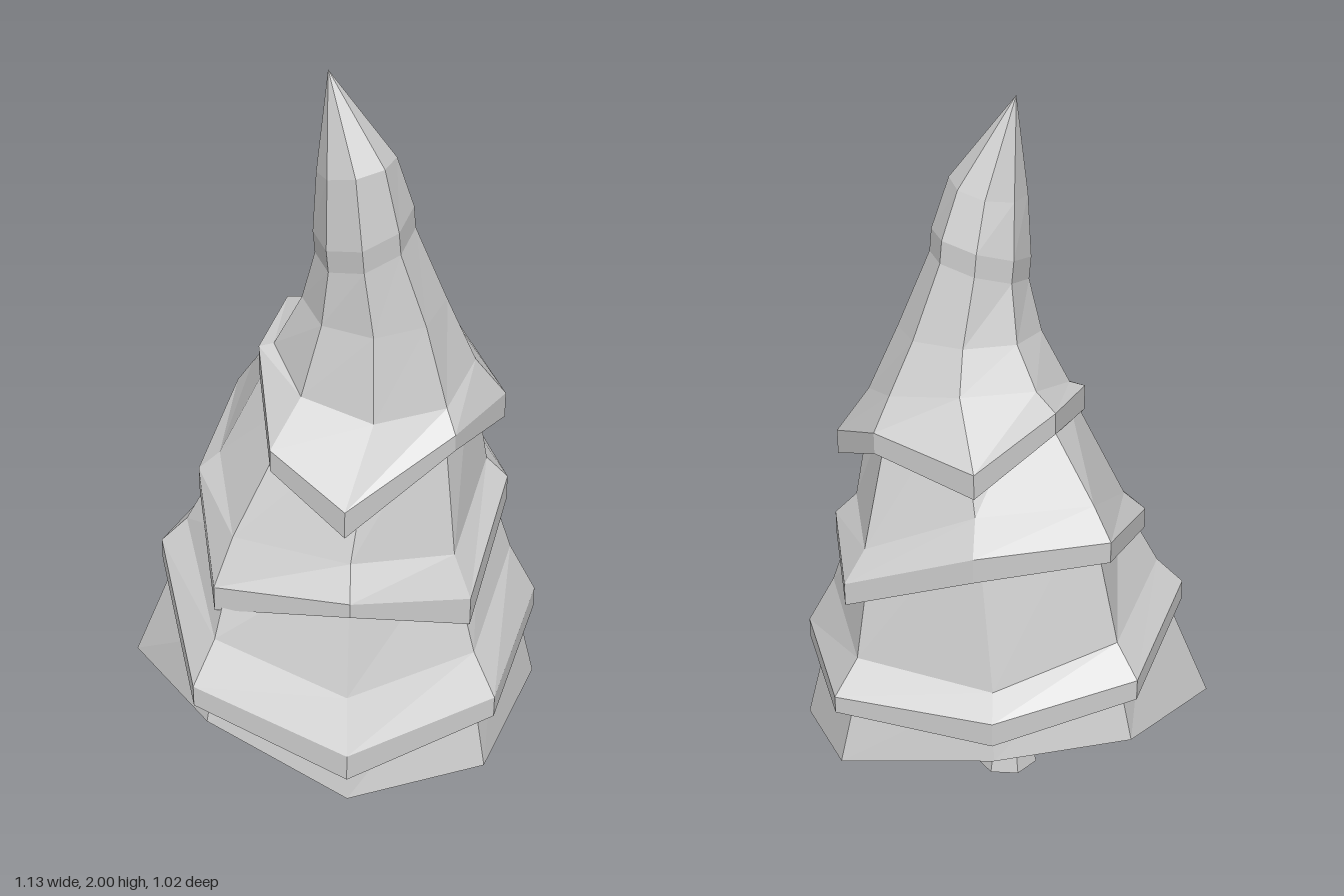
import * as THREE from 'three';

const SIDES = 8;

// Tier rims, corners running from the front round by the left:
// [x, z, y of lower edge, y of upper edge, y of shoulder]
const skirtRim = [
  [0.04, 0.465, 0.11], [0.41, 0.35, 0.14], [0.565, -0.06, 0.17], [0.42, -0.39, 0.26],
  [0, -0.46, 0.34], [-0.36, -0.38, 0.37], [-0.57, 0, 0.265], [-0.34, 0.36, 0.28],
];
const lowerRim = [
  [0.04, 0.51, 0.21, 0.285, 0.42], [0.43, 0.355, 0.31, 0.37, 0.48],
  [0.555, -0.03, 0.41, 0.47, 0.61], [0.425, -0.41, 0.44, 0.49, 0.58],
  [0, -0.51, 0.43, 0.5, 0.55], [-0.37, -0.4, 0.52, 0.58, 0.66],
  [-0.485, 0, 0.57, 0.63, 0.7], [-0.37, 0.39, 0.355, 0.415, 0.53],
];
const middleRim = [
  [0.045, 0.41, 0.655, 0.695, 0.78], [0.36, 0.29, 0.56, 0.64, 0.75],
  [0.465, -0.03, 0.76, 0.83, 0.89], [0.395, -0.35, 0.745, 0.81, 0.89],
  [0.055, -0.41, 0.87, 0.94, 1.03], [-0.29, -0.335, 0.9, 0.96, 1.04],
  [-0.375, 0, 0.8, 0.86, 0.91], [-0.315, 0.3, 0.6, 0.67, 0.8],
];
const upperRim = [
  [0.03, 0.37, 0.87, 0.945], [0.31, 0.21, 1.04, 1.085], [0.45, -0.03, 1.015, 1.085], [0.32, -0.24, 1.14, 1.2],
  [0.055, -0.365, 1.09, 1.16], [-0.14, -0.23, 1.21, 1.27], [-0.205, 0, 1.16, 1.23], [-0.165, 0.24, 0.99, 1.05],
];

const lipBottom = (rim) => rim.map(([x, z, y]) => new THREE.Vector3(x, y, z));
const lipTop = (rim) => rim.map(([x, z, , y]) => new THREE.Vector3(x, y, z));
const shoulder = (rim) => inset(rim.map(([x, z, , , y]) => new THREE.Vector3(x, y, z)), 0.86);

// Shrinks a ring sideways around its own middle
function inset(ring, scale) {
  const cx = ring.reduce((s, p) => s + p.x, 0) / SIDES;
  const cz = ring.reduce((s, p) => s + p.z, 0) / SIDES;
  return ring.map((p) => new THREE.Vector3(cx + (p.x - cx) * scale, p.y, cz + (p.z - cz) * scale));
}

// Tilted oval ring from its extents in x and z
function oval(x0, x1, z0, z1, y, tiltX, tiltZ) {
  return Array.from({ length: SIDES }, (_, i) => {
    const a = (i / SIDES) * Math.PI * 2, s = Math.sin(a), c = Math.cos(a);
    return new THREE.Vector3(
      (x0 + x1) / 2 + (s * (x1 - x0)) / 2,
      y + tiltX * s + tiltZ * c,
      (z0 + z1) / 2 + (c * (z1 - z0)) / 2);
  });
}

// Skin between successive rings
function loft(rings) {
  const index = [];
  for (let j = 0; j < rings.length - 1; j++) {
    for (let i = 0; i < SIDES; i++) {
      const a = j * SIDES + i, b = j * SIDES + ((i + 1) % SIDES);
      index.push(a, b, b + SIDES, a, b + SIDES, a + SIDES);
    }
  }
  const geometry = new THREE.BufferGeometry().setFromPoints(rings.flat());
  geometry.setIndex(index);
  geometry.computeVertexNormals();
  return geometry;
}

export function createModel() {
  const group = new THREE.Group();
  const material = new THREE.MeshStandardMaterial({
    color: 0xcccccc, flatShading: true, side: THREE.DoubleSide,
  });
  const add = (name, geometry) => {
    const mesh = new THREE.Mesh(geometry, material);
    mesh.name = name;
    group.add(mesh);
    return mesh;
  };

  // Foliage: open shells, each wall ending inside the shoulder of the tier above
  const lowerShoulder = shoulder(lowerRim);
  const middleShoulder = shoulder(middleRim);
  const upperShoulder = oval(-0.165, 0.365, -0.24, 0.24, 1.22, -0.02, -0.09);
  add('skirt', loft([lipBottom(skirtRim), inset(lowerShoulder, 0.95)]));
  add('lowerTier', loft([
    lipBottom(lowerRim), lipTop(lowerRim), lowerShoulder, inset(middleShoulder, 0.95),
  ]));
  add('middleTier', loft([
    lipBottom(middleRim), lipTop(middleRim), middleShoulder, inset(upperShoulder, 0.95),
  ]));
  add('upperTier', loft([
    lipBottom(upperRim), lipTop(upperRim), upperShoulder,
    oval(-0.09, 0.285, -0.17, 0.195, 1.38, 0, -0.03),
    oval(-0.055, 0.2, -0.11, 0.18, 1.55, 0.035, -0.03),
    oval(-0.06, 0.195, -0.105, 0.185, 1.61, 0.035, -0.03),
    oval(-0.05, 0.15, -0.05, 0.16, 1.76, 0.02, 0),
    oval(-0.02, -0.02, 0.05, 0.05, 2, 0, 0),
  ]));

  // Trunk: flared foot tapering up inside the skirt
  const profile = [[0.09, 0], [0.078, 0.06], [0.055, 0.11], [0.055, 0.18], [0.035, 0.32], [0.01, 0.7]];
  const trunk = add('trunk',
    new THREE.LatheGeometry(profile.map(([r, y]) => new THREE.Vector2(r, y)), 7));
  trunk.position.z = -0.01;

  return group;
}
